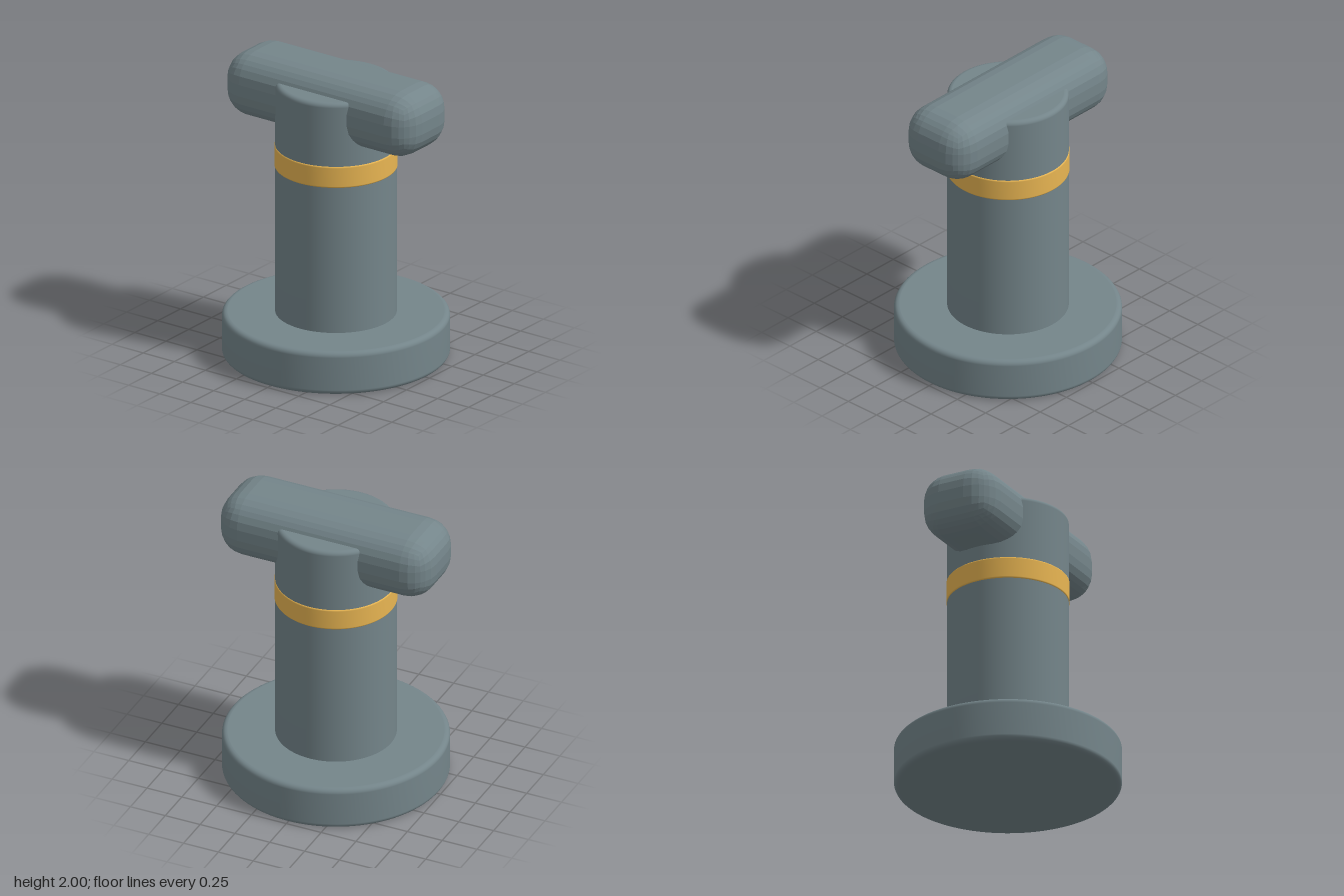
import * as THREE from 'three';
import { RoundedBoxGeometry } from 'three/addons/geometries/RoundedBoxGeometry.js';

const steel = new THREE.MeshStandardMaterial({ color: 0x74858a });
const steelFlat = new THREE.MeshStandardMaterial({ color: 0x74858a, flatShading: true });
const gold = new THREE.MeshStandardMaterial({ color: 0xe8b552 });

// Solid disc or post with rounded rims; bevel is the rim radius
function roundedCylinder(name, radius, y0, y1, bevel, material) {
  const points = [new THREE.Vector2(0, y0), new THREE.Vector2(radius - bevel * 1.05, y0)];
  const steps = 5;
  for (const [cy, start] of [[y0 + bevel, -Math.PI / 2], [y1 - bevel, 0]]) {
    for (let i = 0; i <= steps; i++) {
      const a = start + (i / steps) * Math.PI / 2;
      points.push(new THREE.Vector2(radius - bevel + bevel * Math.cos(a), cy + bevel * Math.sin(a)));
    }
  }
  points.push(new THREE.Vector2(radius - bevel * 1.05, y1), new THREE.Vector2(0, y1));
  const mesh = new THREE.Mesh(new THREE.LatheGeometry(points, 96), material);
  mesh.name = name;
  return mesh;
}

export function createModel() {
  const model = new THREE.Group();
  model.name = 'tHandlePost';

  // Foot, post and the thin band around it
  model.add(roundedCylinder('base', 0.74, 0, 0.296, 0.035, steel));
  model.add(roundedCylinder('post', 0.395, 0.25, 1.9, 0.03, steel));
  model.add(roundedCylinder('band', 0.4, 1.31, 1.462, 0.012, gold));

  // Faceted crossbar through the top of the post
  const bar = new THREE.Mesh(new RoundedBoxGeometry(1.525, 0.44, 0.545, 3, 0.18), steelFlat);
  bar.name = 'crossbar';
  bar.position.y = 1.78;
  model.add(bar);

  return model;
}
